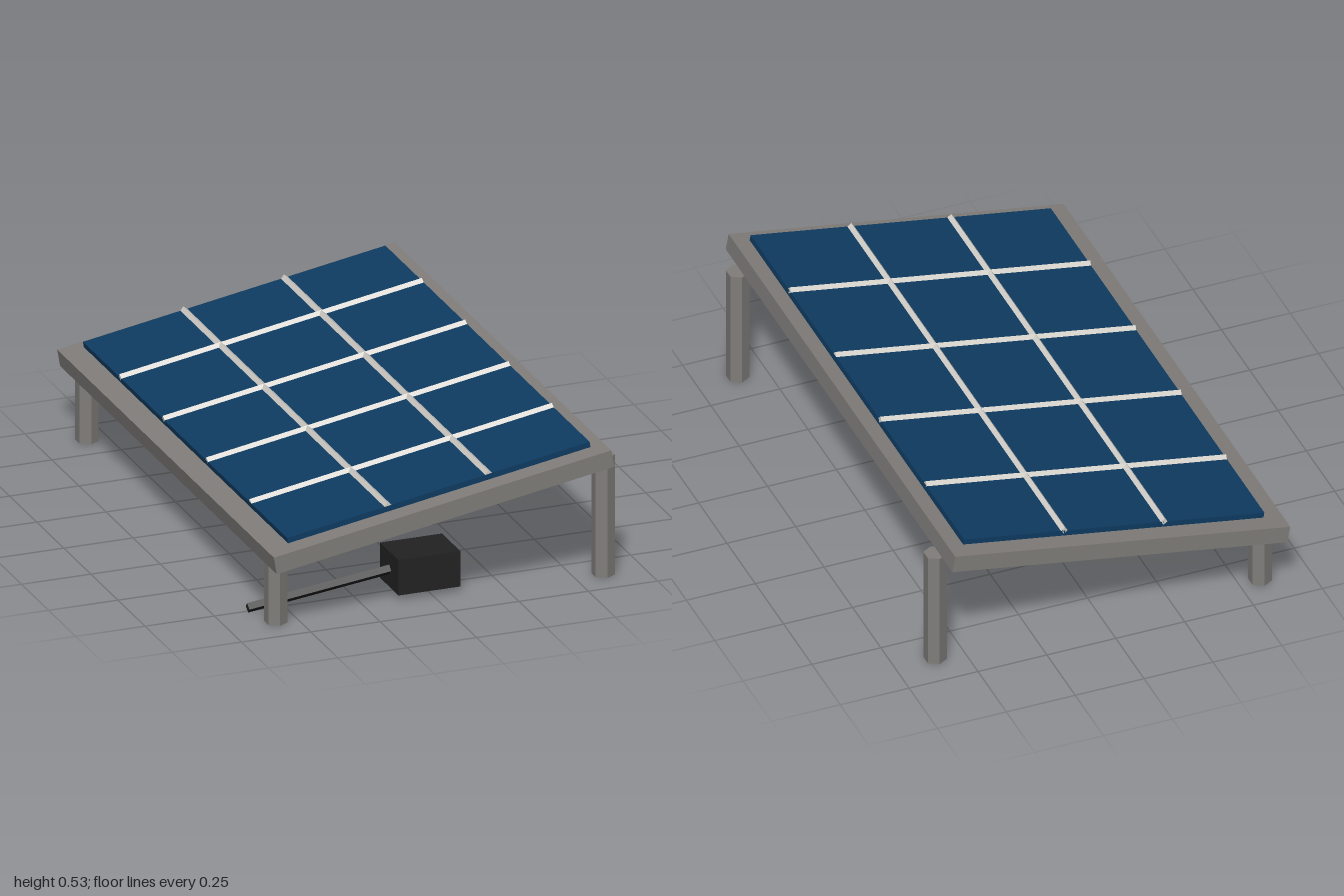
import * as THREE from 'three';

export function createModel() {
  const model = new THREE.Group();
  model.name = 'solarPanel';

  const material = (name, color) => {
    const m = new THREE.MeshStandardMaterial({ color, flatShading: true });
    m.name = name;
    return m;
  };
  const grey = material('frameGrey', 0x807d7a);
  const blue = material('cellBlue', 0x0e3b61);
  const silver = material('barSilver', 0xd2cec8);
  const black = material('boxBlack', 0x222222);

  const add = (parent, name, geometry, mat, x, y, z) => {
    const mesh = new THREE.Mesh(geometry, mat);
    mesh.name = name;
    mesh.position.set(x, y, z);
    parent.add(mesh);
    return mesh;
  };

  // Tilted deck: frame slab, glass panel and the grid of bars
  const deck = new THREE.Group();
  deck.name = 'tiltedDeck';
  deck.position.set(-0.02, 0.3625, 0);
  deck.rotation.z = 0.171;
  model.add(deck);

  const panelX = 0.012, panelLength = 1.106, panelDepth = 1.885, panelTop = 0.058;
  add(deck, 'frame', new THREE.BoxGeometry(1.234, 0.062, 2), grey, 0, 0, 0);
  add(deck, 'panel', new THREE.BoxGeometry(panelLength, 0.02, panelDepth), blue, panelX, panelTop - 0.01, 0);

  const bar = (length) => new THREE.CylinderGeometry(0.0125, 0.0125, length, 4);
  for (const z of [-0.6, -0.2, 0.2, 0.6]) {
    add(deck, 'crossBar', bar(panelLength), silver, panelX, panelTop, z).rotation.z = Math.PI / 2;
  }
  for (const dx of [-0.184, 0.184]) {
    add(deck, 'longBar', bar(panelDepth), silver, panelX + dx, panelTop, 0).rotation.x = Math.PI / 2;
  }

  // Six-sided legs, short on one side and tall on the other
  for (const [name, x, height] of [['shortLeg', -0.576, 0.226], ['tallLeg', 0.603, 0.435]]) {
    for (const z of [-0.872, 0.872]) {
      add(model, name, new THREE.CylinderGeometry(0.04, 0.04, height, 6), grey, x, height / 2, z);
    }
  }

  // Junction box with its cable
  add(model, 'junctionBox', new THREE.BoxGeometry(0.223, 0.128, 0.17), black, -0.014, 0.084, 0.765);
  const start = new THREE.Vector3(-0.636, 0.0185, 0.765);
  const end = new THREE.Vector3(-0.1, 0.086, 0.765);
  const cable = add(model, 'cable', new THREE.CylinderGeometry(0.0175, 0.0175, start.distanceTo(end), 4), black, 0, 0, 0);
  cable.position.copy(start).lerp(end, 0.5);
  cable.rotation.z = Math.atan2(end.y - start.y, end.x - start.x) - Math.PI / 2;

  return model;
}
